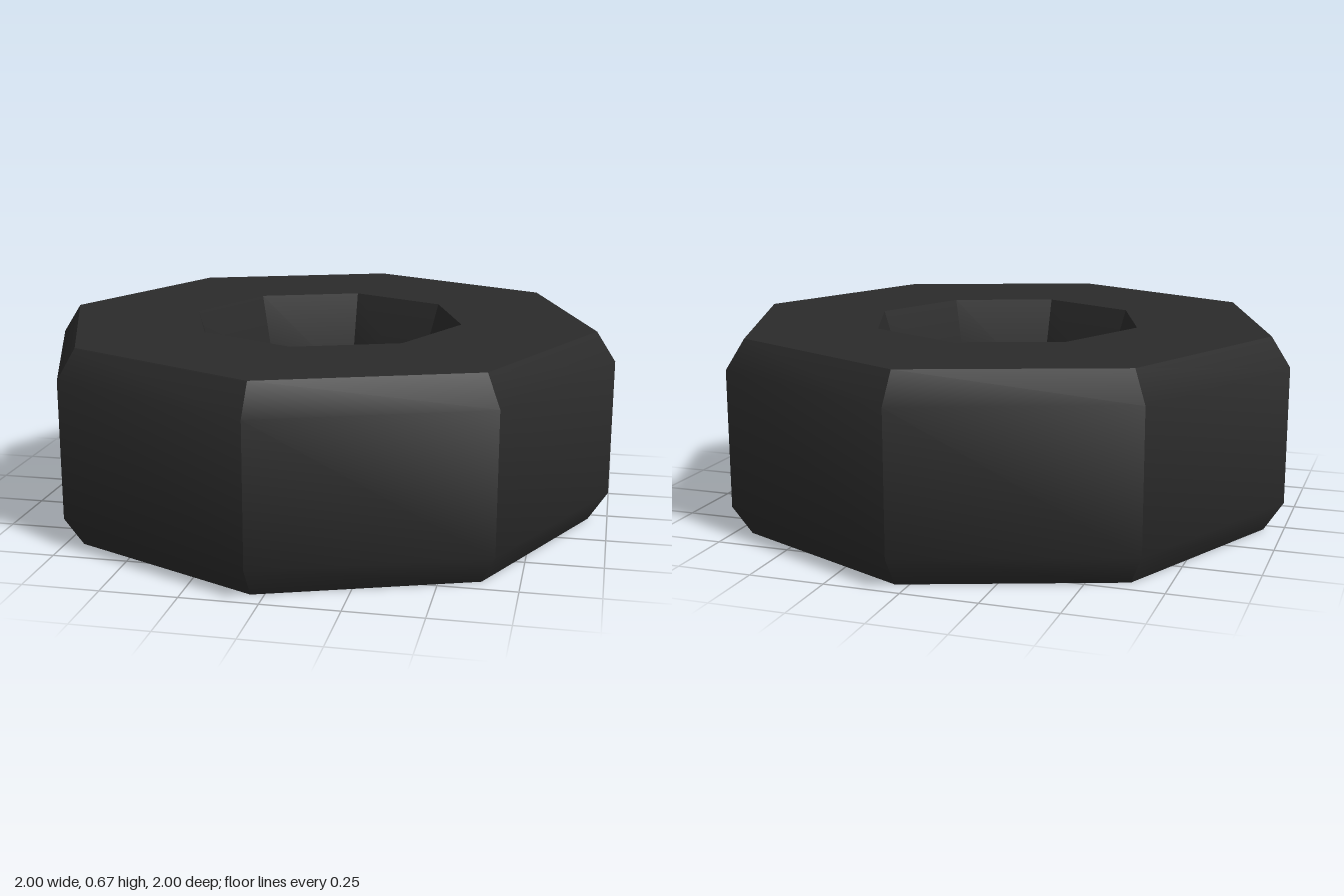
import * as THREE from 'three';
import { toCreasedNormals } from 'three/addons/utils/BufferGeometryUtils.js';

export function createModel() {
  const group = new THREE.Group();
  group.name = 'octagonalNut';

  const darkRubber = new THREE.MeshStandardMaterial({ color: 0x2b2b2b });
  darkRubber.name = 'charcoal';

  // Closed cross-section [radius, y]: chamfered outside, hole narrowing at mid height
  const height = 0.665;
  const profile = [
    [0.476, 0], [0.935, 0], [1, 0.1], [1, 0.565], [0.935, height],
    [0.476, height], [0.372, height / 2], [0.476, 0],
  ].map(([r, y]) => new THREE.Vector2(r, y));

  // Eight-sided ring, turned slightly; side corners sharp, chamfers softly shaded
  const turn = -0.045;
  const lathe = new THREE.LatheGeometry(profile, 8, turn, Math.PI * 2);
  const ring = new THREE.Mesh(toCreasedNormals(lathe, 0.63), darkRubber);
  ring.name = 'ring';
  group.add(ring);

  return group;
}
